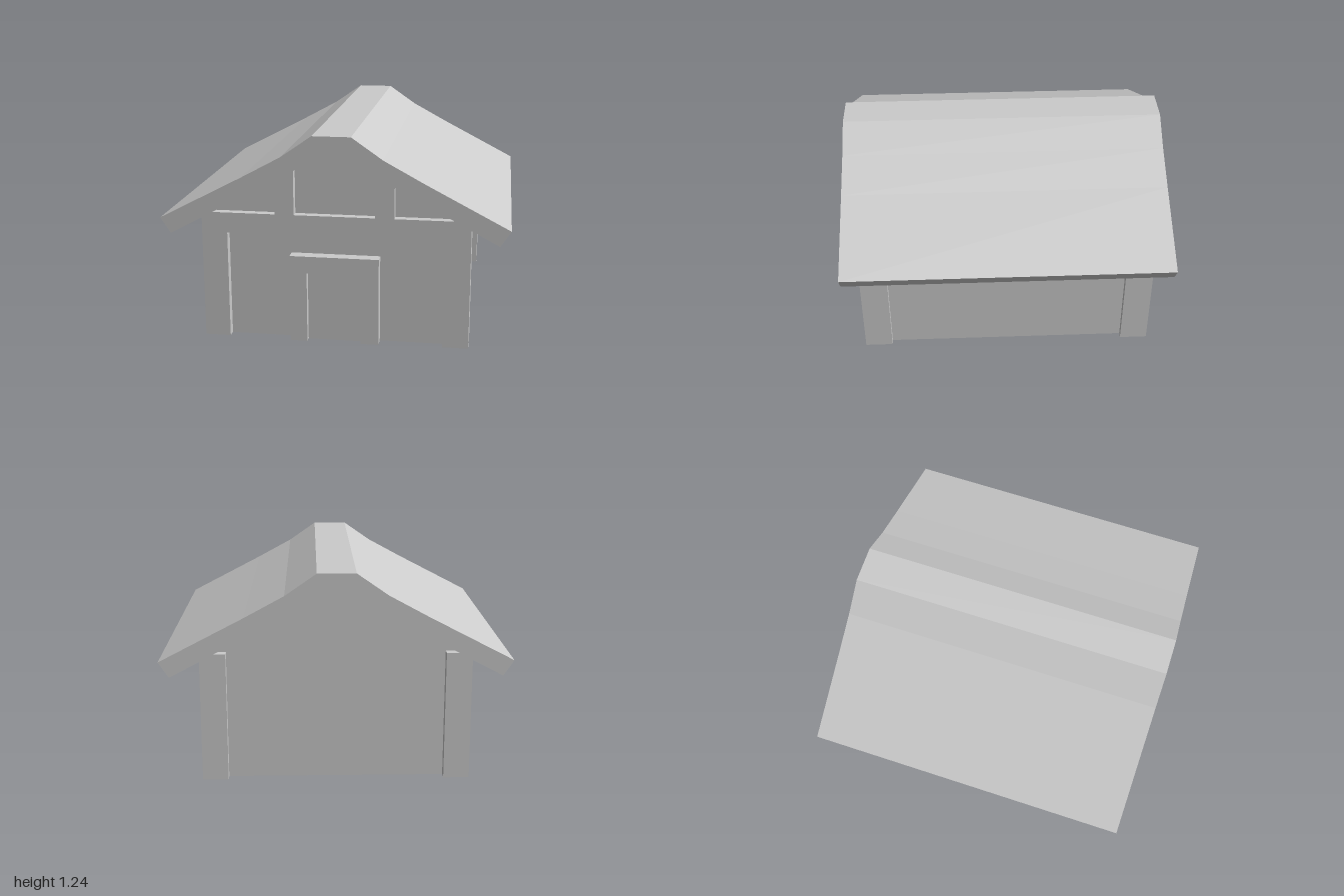
import * as THREE from 'three';

const material = new THREE.MeshStandardMaterial({ color: 0xcccccc, flatShading: true });

export function createModel() {
  const house = new THREE.Group();
  house.name = 'house';

  function add(name, geometry) {
    const mesh = new THREE.Mesh(geometry, material);
    mesh.name = name;
    house.add(mesh);
  }

  // Box given by its limits on each axis
  function box(name, x0, x1, y0, y1, z0, z1) {
    const g = new THREE.BoxGeometry(x1 - x0, y1 - y0, z1 - z0);
    g.translate((x0 + x1) / 2, (y0 + y1) / 2, (z0 + z1) / 2);
    add(name, g);
  }

  // Outline in x/y extruded along z
  function prism(name, points, z0, z1) {
    const shape = new THREE.Shape(points.map(([x, y]) => new THREE.Vector2(x, y)));
    const g = new THREE.ExtrudeGeometry(shape, { depth: z1 - z0, bevelEnabled: false });
    g.translate(0, 0, z0);
    add(name, g);
  }

  const mirror = (pts) => pts.map(([x, y]) => [-x, y]).reverse();

  // Roof: thick bent shell, right half from eave to ridge, then mirrored
  const outer = [[1, 0.74], [0.52, 0.99], [0.29, 1.115], [0.11, 1.24]];
  const inner = [[0.94, 0.65], [0.24, 1.025], [0.04, 1.15]];
  prism('roof', [
    ...outer, ...mirror(outer),
    ...inner.map(([x, y]) => [-x, y]), ...[...inner].reverse(),
  ], -0.97, 0.97);

  // Walls and both gables, filling up to the underside of the roof
  const wallHalf = [[0.745, 0], [0.745, 0.755], [0.24, 1.025], [0.04, 1.15]];
  prism('walls', [...wallHalf, ...mirror(wallHalf)], -0.835, 0.835);

  for (const s of [-1, 1]) {
    // Corner posts, front and back
    for (const [z0, z1] of [[0.72, 0.885], [-0.885, -0.72]]) {
      box('cornerPost', s > 0 ? 0.63 : -0.78, s > 0 ? 0.78 : -0.63, 0, 0.76, z0, z1);
    }
    // Gable studs on the front
    box('gableStud', s > 0 ? 0.235 : -0.345, s > 0 ? 0.345 : -0.235, 0.76, 1.025, 0.82, 0.885);
  }

  // Cross beam between the front posts
  box('crossBeam', -0.63, 0.63, 0.64, 0.76, 0.82, 0.885);

  // Door frame with a recessed door
  prism('doorFrame', [
    [-0.26, 0], [-0.16, 0], [-0.16, 0.42], [0.155, 0.42],
    [0.155, 0], [0.26, 0], [0.26, 0.52], [-0.26, 0.52],
  ], 0.82, 0.905);
  box('door', -0.16, 0.155, 0, 0.42, 0.82, 0.865);

  return house;
}
